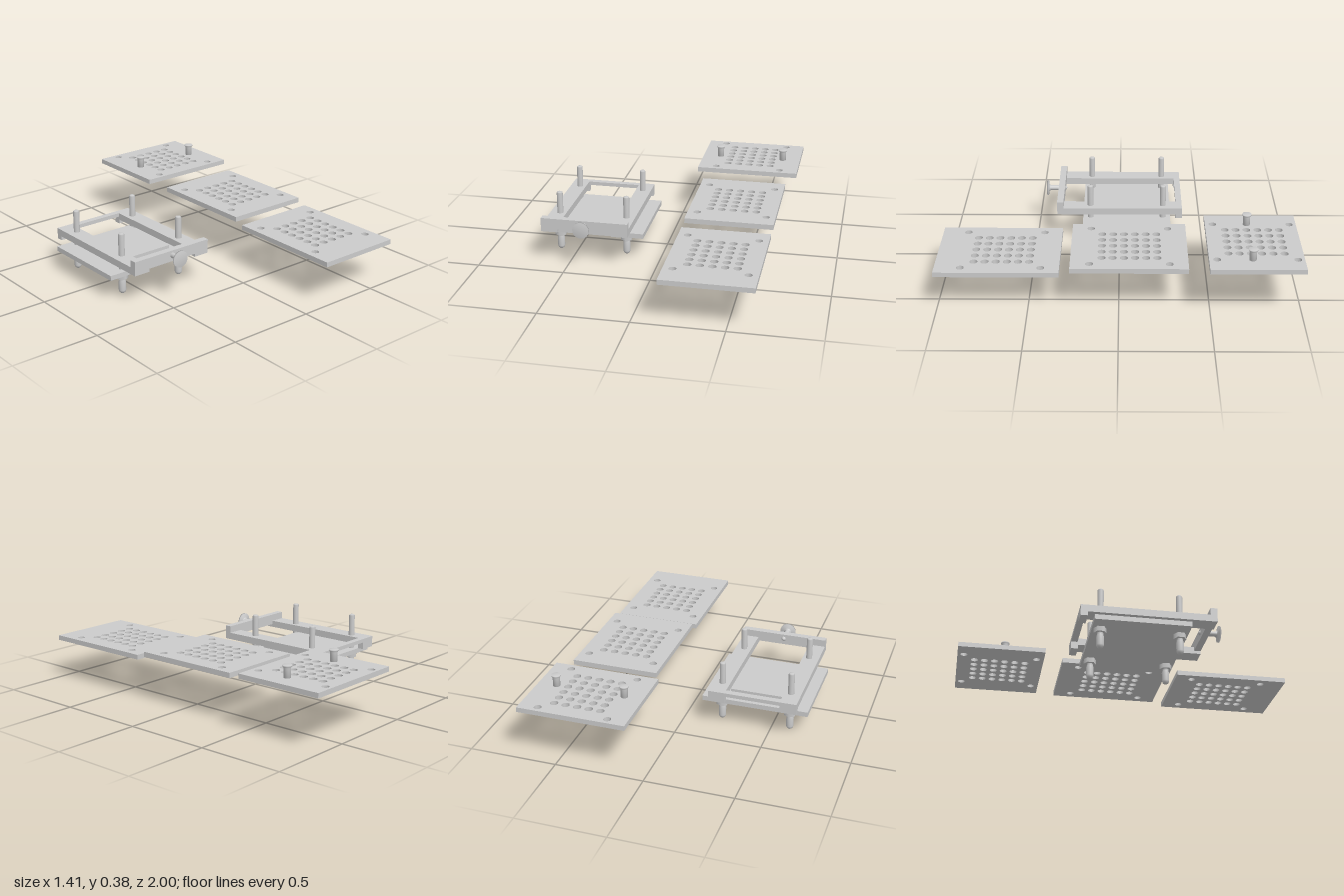
import * as THREE from 'three';

const grey = new THREE.MeshStandardMaterial({ color: 0xcccccc });

function add(parent, name, geometry, x = 0, y = 0, z = 0) {
  const mesh = new THREE.Mesh(geometry, grey);
  mesh.name = name;
  mesh.position.set(x, y, z);
  parent.add(mesh);
  return mesh;
}

// Box given by its limits on each axis
function box(parent, name, x0, x1, y0, y1, z0, z1) {
  return add(parent, name, new THREE.BoxGeometry(x1 - x0, y1 - y0, z1 - z0),
    (x0 + x1) / 2, (y0 + y1) / 2, (z0 + z1) / 2);
}

// Flat outline in x and z, with round holes [x, z, radius], raised from y0 to y1
function slab(parent, name, x0, x1, y0, y1, z0, z1, holes) {
  const shape = new THREE.Shape();
  shape.moveTo(x0, -z1).lineTo(x1, -z1).lineTo(x1, -z0).lineTo(x0, -z0).closePath();
  for (const [x, z, r] of holes) {
    shape.holes.push(new THREE.Path().absarc(x, -z, r, 0, Math.PI * 2, true));
  }
  const geo = new THREE.ExtrudeGeometry(shape, { depth: y1 - y0, bevelEnabled: false, curveSegments: 10 });
  geo.rotateX(-Math.PI / 2);
  return add(parent, name, geo, 0, y0, 0);
}

function lathe(points, segments = 24) {
  return new THREE.LatheGeometry(points.map(([r, y]) => new THREE.Vector2(r, y)), segments);
}

// Perforated plate: 5 x 6 holes and four corner holes around (cx, cz)
function perforatedPlate(parent, name, x0, x1, y0, y1, z0, z1, cx, cz) {
  const holes = [];
  for (let i = 0; i < 5; i++) {
    for (let j = 0; j < 6; j++) {
      holes.push([cx + (i - 2) * 0.066, cz + (j - 2.5) * 0.0608, 0.022]);
    }
  }
  for (const sx of [-1, 1]) {
    for (const sz of [-1, 1]) holes.push([cx + sx * 0.197, cz + sz * 0.217, 0.021]);
  }
  return slab(parent, name, x0, x1, y0, y1, z0, z1, holes);
}

function createModel() {
  const model = new THREE.Group();
  model.name = 'plateClampSet';

  // Three loose perforated plates
  const plates = new THREE.Group();
  plates.name = 'plates';
  model.add(plates);
  perforatedPlate(plates, 'backPlate', 0.095, 0.705, 0.29, 0.318, -1, -0.485, 0.4, -0.745);
  perforatedPlate(plates, 'middlePlate', 0.148, 0.65, 0.259, 0.288, -0.377, 0.264, 0.4, -0.058);
  perforatedPlate(plates, 'frontPlate', 0.143, 0.645, 0.23, 0.258, 0.322, 1, 0.394, 0.64);

  // Two flared grips on the back plate
  for (const x of [0.203, 0.597]) {
    add(plates, 'grip', lathe([[0, 0], [0.02, 0], [0.02, 0.052], [0.026, 0.06],
      [0.026, 0.067], [0, 0.067]]), x, 0.318, -0.72);
  }

  // Base plate with its raised block
  const press = new THREE.Group();
  press.name = 'clamp';
  model.add(press);
  box(press, 'basePlate', -0.71, -0.1, 0.12, 0.148, -0.305, 0.22);
  box(press, 'raisedBlock', -0.566, -0.25, 0.148, 0.182, -0.238, 0.145);

  // Sliding frame: side rails with back feet, joined by two cross bars
  const pinX = [-0.602, -0.207];
  const pinZ = [-0.26, 0.175];
  const rails = [[-0.66, -0.565], [-0.25, -0.157]];
  rails.forEach(([x0, x1], i) => {
    slab(press, 'sideRail', x0, x1, 0.187, 0.227, -0.374, 0.336,
      pinZ.map((z) => [pinX[i], z, 0.018]));
    box(press, 'railFoot', x0, x1, 0.163, 0.187, -0.374, -0.335);
    box(press, 'frontBarEnd', x0, x1, 0.187, 0.205, 0.336, 0.374);
  });
  box(press, 'backBar', -0.565, -0.25, 0.205, 0.227, -0.374, -0.338);
  box(press, 'frontBar', -0.66, -0.157, 0.205, 0.268, 0.336, 0.374);

  // Guide pins with hex nuts and rounded feet
  for (const x of pinX) {
    for (const z of pinZ) {
      const pin = new THREE.Group();
      pin.name = 'guidePin';
      pin.position.set(x, 0, z);
      press.add(pin);
      add(pin, 'rod', lathe([[0, 0.08], [0.0175, 0.08], [0.0175, 0.35], [0.013, 0.356], [0, 0.356]]));
      add(pin, 'nut', new THREE.CylinderGeometry(0.035, 0.035, 0.028, 6), 0, 0.106, 0);
      add(pin, 'foot', lathe([[0, 0], [0.009, 0.002], [0.017, 0.009], [0.021, 0.021],
        [0.021, 0.07], [0.017, 0.085], [0.017, 0.095]]));
    }
  }

  // Thumb screw through the front bar
  const screw = add(press, 'thumbScrew', lathe([[0, -0.05], [0.007, -0.048], [0.013, -0.04],
    [0.015, -0.03], [0.015, 0.055], [0.021, 0.055], [0.021, 0.062], [0.047, 0.064],
    [0.047, 0.073], [0, 0.073]], 32), -0.407, 0.241, 0.374);
  screw.rotation.x = Math.PI / 2;

  return model;
}

export { createModel };
